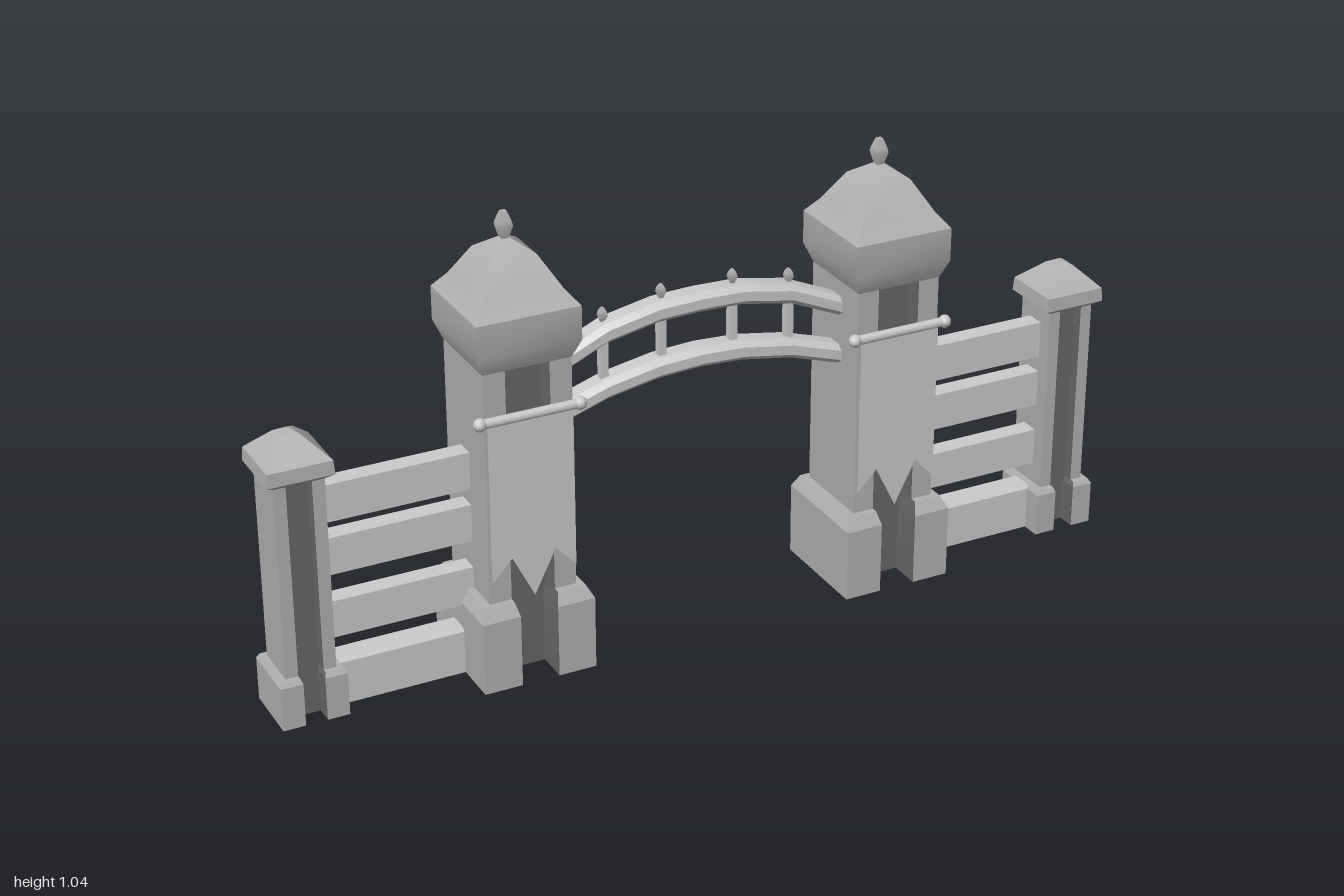
import * as THREE from 'three';
import { toCreasedNormals } from 'three/addons/utils/BufferGeometryUtils.js';

const paint = (color, side = THREE.DoubleSide) => new THREE.MeshStandardMaterial({ color, side });
const timber = paint(0xcccccc);
const stone = paint(0xb2b2b2);
const darkStone = paint(0x686868);

function add(parent, name, geometry, mat, x = 0, y = 0, z = 0) {
  const mesh = new THREE.Mesh(geometry, mat);
  mesh.name = name;
  mesh.position.set(x, y, z);
  parent.add(mesh);
  return mesh;
}

// Skin over a row of matching rings (or open strips); ends are fans over convex rings
function loft(rings, crease, wrap, ends) {
  const pos = [];
  const tri = (a, b, c) => {
    const t = new THREE.Triangle(a, b, c);
    if (t.getArea() > 1e-9) pos.push(...a.toArray(), ...b.toArray(), ...c.toArray());
  };
  const n = rings[0].length;
  for (let i = 0; i < rings.length - 1; i++) {
    for (let j = 0; j < (wrap ? n : n - 1); j++) {
      const k = (j + 1) % n;
      const [a, b, c, d] = [rings[i][j], rings[i][k], rings[i + 1][k], rings[i + 1][j]];
      tri(a, b, c);
      tri(a, c, d);
    }
  }
  if (ends) {
    const first = rings[0], last = rings[rings.length - 1];
    for (let j = 1; j < n - 1; j++) {
      tri(first[0], first[j + 1], first[j]);
      tri(last[0], last[j], last[j + 1]);
    }
  }
  const geo = new THREE.BufferGeometry();
  geo.setAttribute('position', new THREE.Float32BufferAttribute(pos, 3));
  geo.computeVertexNormals();
  return toCreasedNormals(geo, crease);
}

const ringAt = (y, corners) => corners.map(([x, z]) => new THREE.Vector3(x, y, z));

// Square stack from [halfWidth, y] pairs
function squareStack(profile) {
  return loft(profile.map(([h, y]) => ringAt(y, [[-h, h], [h, h], [h, -h], [-h, -h]])), 0.6, true, true);
}

// Pillar with a dark groove front and back, from [halfWidth, grooveHalfWidth, y]
function addGroovedPillar(parent, name, levels, panelZ) {
  const side = loft(levels.map(([h, g, y]) =>
    ringAt(y, [[g, h], [h, h], [h, -h], [g, -h]])), 0.3, false, false);
  const groove = loft(levels.map(([h, g, y]) =>
    ringAt(y, [[-g, h], [-g, panelZ], [g, panelZ], [g, h]])), 0.3, false, false);
  for (const turn of [0, Math.PI]) {
    add(parent, name + 'Side', side, stone).rotation.y = turn;
    add(parent, name + 'Groove', groove, darkStone).rotation.y = turn;
  }
}

function makeTower() {
  const tower = new THREE.Group();
  addGroovedPillar(tower, 'towerPillar', [
    [0.13, 0.043, 0], [0.13, 0.043, 0.168], [0.115, 0.05, 0.197],
    [0.1, 0.05, 0.197], [0.1, 0.05, 0.735],
  ], 0.055);
  add(tower, 'towerRoof', squareStack([
    [0.1, 0.73], [0.117, 0.772], [0.117, 0.848], [0.09, 0.882], [0.05, 0.95], [0.01, 0.978],
  ]), stone);
  add(tower, 'towerFinial', squareStack([[0.006, 0.97], [0.015, 1.005], [0.013, 1.015], [0.006, 1.036]]), stone);

  // Hanging cloth with a toothed hem
  const hem = new THREE.Shape([
    [-0.097, 0.63], [-0.097, 0.25], [-0.05, 0.3], [0, 0.2], [0.05, 0.3], [0.097, 0.25], [0.097, 0.63],
  ].map(([x, y]) => new THREE.Vector2(x, y)));
  add(tower, 'banner', new THREE.ShapeGeometry(hem), timber, 0, 0, 0.11);
  const rod = new THREE.CylinderGeometry(0.011, 0.011, 0.23, 8);
  add(tower, 'bannerRod', rod, timber, 0, 0.626, 0.11).rotation.z = Math.PI / 2;
  for (const s of [-1, 1]) {
    add(tower, 'bannerRodKnob', new THREE.SphereGeometry(0.015, 8, 6), timber, s * 0.113, 0.626, 0.11);
  }
  return tower;
}

function makeFencePost() {
  const post = new THREE.Group();
  addGroovedPillar(post, 'fencePostPillar', [
    [0.074, 0.024, 0], [0.074, 0.024, 0.1], [0.068, 0.028, 0.111],
    [0.056, 0.028, 0.111], [0.056, 0.028, 0.56],
  ], 0.032);
  add(post, 'fencePostCap', squareStack([
    [0.056, 0.553], [0.073, 0.566], [0.071, 0.597], [0.056, 0.612], [0.022, 0.645], [0.003, 0.656],
  ]), stone);
  return post;
}

// Bevelled rail following [x, y] stations
function rail(stations) {
  const section = [[0.023, -0.018], [0.023, 0.018], [0.011, 0.032], [-0.011, 0.032],
    [-0.023, 0.018], [-0.023, -0.018], [-0.011, -0.032], [0.011, -0.032]];
  return loft(stations.map(([x, y]) =>
    section.map(([dy, z]) => new THREE.Vector3(x, y + dy, z))), 0.35, true, true);
}

const mirrored = (half) => [...half.map(([x, y]) => [-x, y]), ...half.slice(0, -1).reverse()];

export function createModel() {
  const model = new THREE.Group();
  model.name = 'gateway';

  // Low wall, open underneath
  const wall = loft([[0.03, 0], [0.03, 0.1], [0.024, 0.108], [0, 0.108]].map(([h, y]) =>
    ringAt(y, [[-0.185, h], [0.185, h], [0.185, -h], [-0.185, -h]])), 0.3, true, false);
  const fenceZ = -0.005;

  for (const s of [-1, 1]) {
    const tower = makeTower();
    tower.name = s > 0 ? 'leftTower' : 'rightTower';
    tower.position.x = s * 0.44;
    model.add(tower);

    const post = makeFencePost();
    post.name = s > 0 ? 'leftFencePost' : 'rightFencePost';
    post.position.set(s * 0.926, 0, fenceZ);
    model.add(post);

    // Fence planks above the low wall
    for (const y of [0.203, 0.352, 0.475]) {
      add(model, 'fencePlank', new THREE.BoxGeometry(0.37, 0.086, 0.044), timber, s * 0.705, y, fenceZ);
    }
    add(model, 'fenceWall', wall, timber, s * 0.705, 0, fenceZ);
  }

  // Arched bridge between the towers
  const arch = new THREE.Group();
  arch.name = 'arch';
  model.add(arch);
  add(arch, 'upperRail', rail(mirrored([[0.35, 0.667], [0.22, 0.724], [0.1, 0.747], [0, 0.75]])), timber);
  add(arch, 'lowerRail', rail(mirrored([[0.35, 0.553], [0.22, 0.595], [0.1, 0.616], [0, 0.621]])), timber);
  const knob = squareStack([[0.004, 0], [0.005, 0.008], [0.009, 0.018], [0.007, 0.028], [0.003, 0.036]]);
  for (const [x, low, high] of [[0.222, 0.592, 0.722], [0.085, 0.617, 0.748]]) {
    for (const s of [-1, 1]) {
      add(arch, 'baluster', new THREE.BoxGeometry(0.018, high - low, 0.018), timber, s * x, (low + high) / 2, 0);
      add(arch, 'archKnob', knob, stone, s * x, high + 0.018, 0);
    }
  }
  return model;
}
